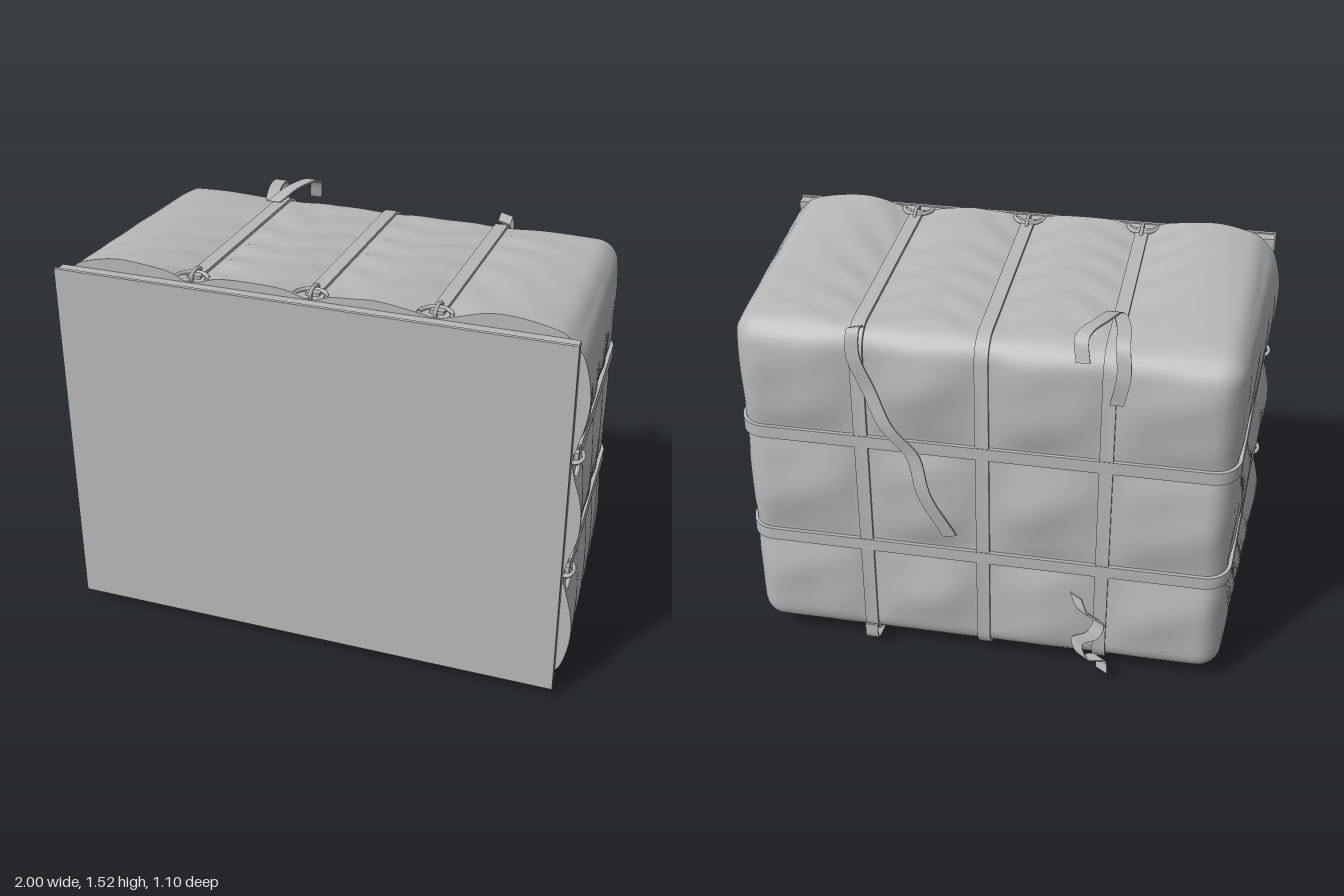
import * as THREE from 'three';
import { mergeVertices, toCreasedNormals } from 'three/addons/utils/BufferGeometryUtils.js';

const CY = 0.765, BACK = -0.49, FRONT = 0.485, R = 0.08;
const STRAP_X = [-0.45, 0, 0.45], STRAP_Y = [0.53, 1.0];
const KNOTS_X = [-0.95, ...STRAP_X, 0.95], KNOTS_Y = [0.07, ...STRAP_Y, 1.46];
const depth = z => THREE.MathUtils.clamp((z - BACK) / (FRONT - BACK), 0, 1);
const halfW = z => 0.905 + 0.05 * depth(z);
const halfH = z => 0.685 + 0.02 * depth(z);

// Billow between two neighbouring straps: 0 at a strap, 1 halfway
function lobe(s, knots) {
  for (let i = 0; i < knots.length - 1; i++) {
    const a = knots[i] + 0.03, b = knots[i + 1] - 0.03;
    if (s > a && s < b) return Math.sin(Math.PI * (s - a) / (b - a)) ** 0.8;
  }
  return 0;
}

// Diagonal folds running away from the nearest strap
function folds(s, z, straps) {
  const d = Math.min(...straps.map(k => Math.abs(s - k)));
  if (d < 0.03) return 0;
  const wave = Math.sin(30 * (z - 0.75 * d) + 2 * Math.sin(5 * z + 3 * s));
  return 0.008 * wave * Math.exp(-d / 0.16) * Math.min(1, (d - 0.03) / 0.04);
}

// Cloth cover: a box rounded on all edges but the front, billowing between straps
function coverGeometry() {
  let geo = new THREE.BoxGeometry(2, 2, 2, 84, 64, 44);
  const pos = geo.attributes.position, q = new THREE.Vector3(), p = new THREE.Vector3(), n = new THREE.Vector3();
  for (let i = 0; i < pos.count; i++) {
    const z = BACK + (pos.getZ(i) + 1) / 2 * (FRONT - BACK);
    const w = halfW(z), h = halfH(z);
    p.set(pos.getX(i) * w, pos.getY(i) * h, z);
    q.set(THREE.MathUtils.clamp(p.x, R - w, w - R), THREE.MathUtils.clamp(p.y, R - h, h - R), Math.max(z, BACK + R));
    n.subVectors(p, q);
    if (n.lengthSq() > 1e-10) {
      n.normalize();
      p.copy(q).addScaledVector(n, R);
    }
    const x = p.x, y = p.y + CY, t = depth(p.z);
    const lx = lobe(x, KNOTS_X), ly = lobe(y, KNOTS_Y), grow = 0.25 + 0.75 * t;
    const side = 0.042 * ly * grow + folds(y, p.z, STRAP_Y);
    const top = (Math.abs(x) > 0.45 ? 0.046 : 0.03) * lx * grow + folds(x, p.z, STRAP_X);
    const rear = lx * ly * (0.026 + 0.009 * Math.sin(13 * x + 9 * y) * Math.cos(11 * y - 5 * x));
    const edge = Math.min(1, t * 8);
    p.addScaledVector(n, n.x ** 2 * side * edge + n.y ** 2 * top * edge + n.z ** 2 * rear);
    pos.setXYZ(i, p.x, p.y + CY, p.z);
  }
  geo.deleteAttribute('uv');
  geo.deleteAttribute('normal');
  return toCreasedNormals(mergeVertices(geo, 1e-4), 0.9);
}

// Flat band with a rectangular section along a list of points
function bandGeometry(points, across, width, thick) {
  const pos = [], index = [], n = new THREE.Vector3(), tan = new THREE.Vector3();
  points.forEach((p, i) => {
    tan.subVectors(points[Math.min(i + 1, points.length - 1)], points[Math.max(i - 1, 0)]).normalize();
    n.crossVectors(tan, across).normalize();
    for (const [a, b] of [[-1, -1], [1, -1], [1, 1], [-1, 1]]) {
      const c = p.clone().addScaledVector(across, a * width / 2).addScaledVector(n, b * thick / 2);
      pos.push(c.x, c.y, c.z);
    }
    if (i === 0) return;
    for (let k = 0; k < 4; k++) {
      const a = (i - 1) * 4 + k, b = (i - 1) * 4 + (k + 1) % 4;
      index.push(a, a + 4, b, b, a + 4, b + 4);
    }
  });
  const e = pos.length / 3 - 4;
  index.push(0, 1, 2, 0, 2, 3, e, e + 2, e + 1, e, e + 3, e + 2);
  const geo = new THREE.BufferGeometry();
  geo.setAttribute('position', new THREE.Float32BufferAttribute(pos, 3));
  geo.setIndex(index);
  return toCreasedNormals(geo, 0.7);
}

// Strap outline [s, z] round the load: along one side, round the back, along the other
function strapOutline(half) {
  const out = [], lift = 0.007, r = R + lift;
  for (let i = 0; i <= 6; i++) {
    const z = 0.46 + (BACK + R - 0.46) * i / 6;
    out.push([half(z) + lift, z]);
  }
  for (let i = 1; i <= 6; i++) {
    const a = Math.PI / 2 * i / 6;
    out.push([half(BACK) - R + r * Math.cos(a), BACK + R - r * Math.sin(a)]);
  }
  return [...out, ...out.slice().reverse().map(([s, z]) => [-s, z])];
}

export function createModel() {
  const model = new THREE.Group();
  const grey = new THREE.MeshStandardMaterial({ color: 0xb8b8b8, side: THREE.DoubleSide });
  grey.name = 'plain grey';
  const add = (name, geo, parent = model) => {
    const mesh = new THREE.Mesh(geo, grey);
    mesh.name = name;
    parent.add(mesh);
    return mesh;
  };

  // Mounting board, with a thin facing sheet
  add('board', new THREE.BoxGeometry(1.91, 1.40, 0.045)).position.set(-0.004, CY, 0.508);
  add('boardFacing', new THREE.BoxGeometry(1.92, 1.41, 0.014)).position.set(-0.004, CY, 0.537);

  add('clothCover', coverGeometry());

  // Straps
  const X = new THREE.Vector3(1, 0, 0), Y = new THREE.Vector3(0, 1, 0);
  for (const x of STRAP_X)
    add('uprightStrap', bandGeometry(strapOutline(halfH).map(([s, z]) => new THREE.Vector3(x, CY + s, z)), X, 0.05, 0.012));
  for (const y of STRAP_Y)
    add('levelStrap', bandGeometry(strapOutline(halfW).map(([s, z]) => new THREE.Vector3(s, y, z)), Y, 0.05, 0.016));

  // Anchor at each strap end: half ring flat on the cloth, upright link over it
  const ringGeo = new THREE.TorusGeometry(0.058, 0.008, 8, 20, Math.PI);
  const linkGeo = new THREE.TorusGeometry(0.022, 0.007, 8, 18);
  function anchor(x, y, turn) {
    const group = new THREE.Group();
    group.name = 'strapAnchor';
    group.position.set(x, y, 0.48);
    group.rotation.z = turn;
    const ring = add('anchorRing', ringGeo, group);
    ring.rotation.x = -Math.PI / 2;
    ring.position.y = 0.012;
    const link = add('anchorLink', linkGeo, group);
    link.rotation.y = Math.PI / 2;
    link.scale.x = 1.8;
    link.position.set(0, 0.008, -0.04);
    model.add(group);
  }
  for (const x of STRAP_X) {
    anchor(x, CY + halfH(0.45), 0);
    anchor(x, CY - halfH(0.45), Math.PI);
  }
  for (const y of STRAP_Y) {
    anchor(halfW(0.45), y, -Math.PI / 2);
    anchor(-halfW(0.45), y, Math.PI / 2);
  }

  // Loose strap ends
  const tail = (name, pts, across, width = 0.05) => {
    const curve = new THREE.CatmullRomCurve3(pts.map(p => new THREE.Vector3(...p)));
    add(name, bandGeometry(curve.getPoints(40), across.clone().normalize(), width, 0.007));
  };
  tail('topLoop', [[-0.48, 1.28, -0.525], [-0.5, 1.4, -0.53], [-0.49, 1.5, -0.5], [-0.48, 1.515, -0.4],
    [-0.44, 1.5, -0.27], [-0.4, 1.525, -0.38], [-0.35, 1.52, -0.5], [-0.36, 1.44, -0.535]], X);
  tail('longTail', [[0.45, 1.455, -0.46], [0.45, 1.47, -0.51], [0.45, 1.38, -0.53], [0.4, 1.24, -0.525],
    [0.34, 1.1, -0.54], [0.25, 0.98, -0.53], [0.21, 0.82, -0.54], [0.12, 0.63, -0.52]], new THREE.Vector3(1, -0.25, 0));
  tail('curledTail', [[-0.36, 0.42, -0.525], [-0.39, 0.36, -0.54], [-0.45, 0.31, -0.53], [-0.43, 0.25, -0.54],
    [-0.37, 0.2, -0.53], [-0.4, 0.14, -0.545], [-0.46, 0.12, -0.52], [-0.47, 0.07, -0.53]], new THREE.Vector3(1, 0.4, 0.3));
  tail('underTail', [[0.45, 0.14, -0.51], [0.45, 0.07, -0.5], [0.45, 0.045, -0.38], [0.46, 0.03, -0.22],
    [0.455, 0.045, -0.1], [0.465, 0.02, 0.04]], X);
  return model;
}
